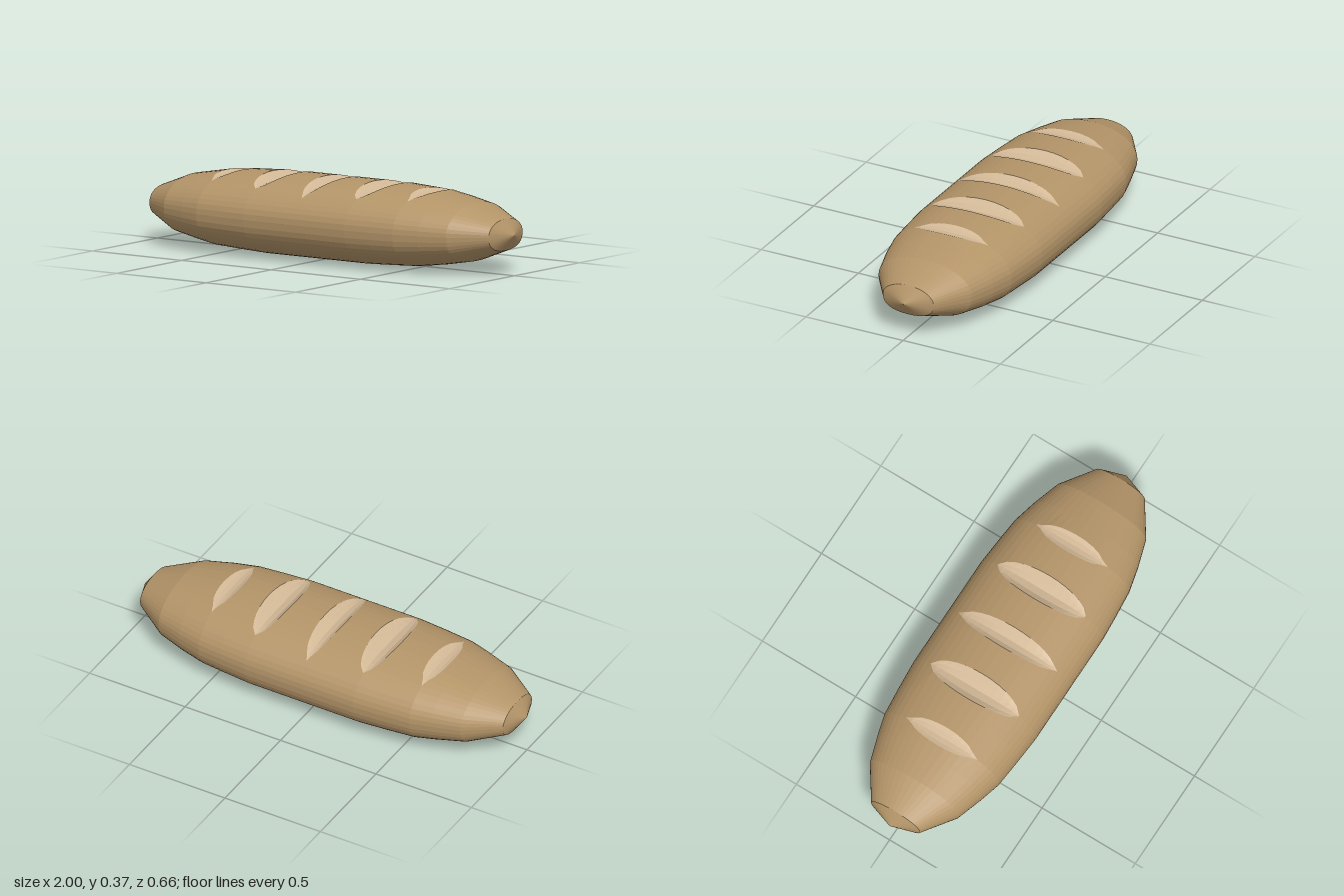
import * as THREE from 'three';

const MID = 0.184, HALF_H = 0.184, HALF_W = 0.33, SEGMENTS = 48;

// Half-width of the loaf along its length, as a fraction of the widest part
const PROFILE = [[0, 1], [0.31, 1], [0.58, 0.925], [0.79, 0.725], [0.95, 0.395], [1, 0]];

// Slashes across the top: centre, half-width, half-length, depth
const SLASHES = [
  { c: -0.56, w: 0.046, l: 0.165, d: 0.014 },
  { c: -0.28, w: 0.068, l: 0.23, d: 0.033 },
  { c: 0, w: 0.055, l: 0.245, d: 0.026 },
  { c: 0.285, w: 0.066, l: 0.23, d: 0.033 },
  { c: 0.54, w: 0.046, l: 0.165, d: 0.014 },
];

function radiusAt(x) {
  const a = Math.min(Math.abs(x), 1);
  const k = Math.max(1, PROFILE.findIndex(p => p[0] >= a));
  const [x0, r0] = PROFILE[k - 1], [x1, r1] = PROFILE[k];
  return r0 + (r1 - r0) * (a - x0) / (x1 - x0);
}

// Rounded cross-section, slightly squarer below than above
function section(i) {
  const t = (i % SEGMENTS) / SEGMENTS * Math.PI * 2;
  const co = Math.cos(t), si = Math.sin(t);
  const e = 2 / (co > 0 ? 2.1 : 2.4);
  return [Math.sign(co) * Math.abs(co) ** e, Math.sign(si) * Math.abs(si) ** e];
}

// Lengthwise lines: plain rings plus five lines that open out around each slash
function makeStations() {
  const list = [-1, -0.95, -0.79, -0.66, -0.42, -0.14, 0.14, 0.42, 0.66, 0.79, 0.95, 1].map(x => ({ x, s: 0 }));
  for (const slash of SLASHES) {
    for (const s of [-1, -0.55, 0, 0.55, 1]) list.push({ x: slash.c + s * 0.001, s, slash });
  }
  return list.sort((a, b) => a.x - b.x);
}

function pointOn(station, i) {
  const [cy, cz] = section(i);
  const { slash, s } = station;
  let x = slash ? slash.c : station.x, dip = 0;
  if (slash && cy > 0) {
    const z = cz * HALF_W * radiusAt(x);
    const open = Math.max(0, 1 - (z / slash.l) ** 2);
    x += s * slash.w * Math.sqrt(open);
    dip = slash.d * open * (1 - s * s);
  }
  const r = radiusAt(x);
  return new THREE.Vector3(x, MID + cy * HALF_H * r - dip, cz * HALF_W * r);
}

function addTriangle(list, a, b, c) {
  const area = b.clone().sub(a).cross(c.clone().sub(a)).length();
  if (area > 1e-8) for (const p of [a, b, c]) list.push(p.x, p.y, p.z);
}

function makeMesh(name, positions, color) {
  const geometry = new THREE.BufferGeometry();
  geometry.setAttribute('position', new THREE.Float32BufferAttribute(positions, 3));
  geometry.computeVertexNormals();
  const mesh = new THREE.Mesh(geometry, new THREE.MeshStandardMaterial({ color, flatShading: true }));
  mesh.name = name;
  return mesh;
}

export function createModel() {
  const crust = [], cuts = SLASHES.map(() => []);
  const stations = makeStations();
  for (let j = 0; j < stations.length - 1; j++) {
    const p = stations[j], q = stations[j + 1];
    const inside = p.slash && p.slash === q.slash;
    const target = inside ? cuts[SLASHES.indexOf(p.slash)] : crust;
    for (let i = 0; i < SEGMENTS; i++) {
      const a = pointOn(p, i), b = pointOn(q, i), c = pointOn(q, i + 1), d = pointOn(p, i + 1);
      addTriangle(target, a, d, c);
      addTriangle(target, a, c, b);
    }
  }

  const loaf = new THREE.Group();
  loaf.name = 'breadLoaf';
  loaf.add(makeMesh('crust', crust, 0xb39468));
  // Pale crumb showing in each slash
  cuts.forEach((cut, k) => loaf.add(makeMesh('slash' + (k + 1), cut, 0xd2b896)));
  return loaf;
}
